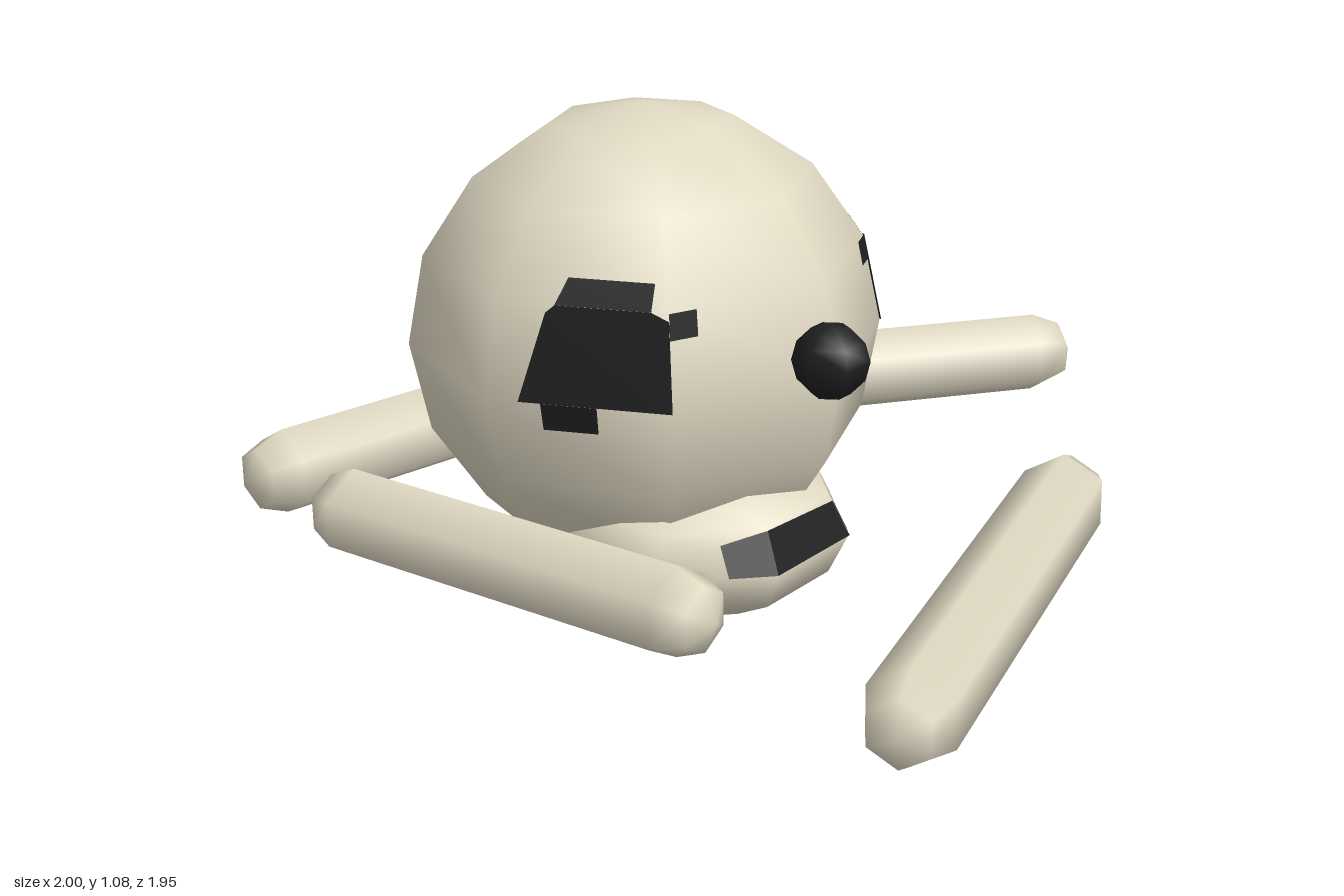
import * as THREE from 'three';

const cream = new THREE.MeshStandardMaterial({ color: 0xe0d9c3 });
cream.name = 'cream';
const black = new THREE.MeshStandardMaterial({ color: 0x1f1f1f, side: THREE.DoubleSide });
black.name = 'black';

function add(parent, name, geometry, material) {
  const mesh = new THREE.Mesh(geometry, material);
  mesh.name = name;
  parent.add(mesh);
  return mesh;
}

// Point on a faceted ball: u counts facets around from +z to +x, v counts rings down from the top
function facetPoint(u, v, rings, turn) {
  const corner = (i, j) => {
    const a = i * Math.PI / 4 + turn, t = j * Math.PI / rings;
    return new THREE.Vector3(Math.sin(t) * Math.sin(a), Math.cos(t), Math.sin(t) * Math.cos(a));
  };
  const i = Math.floor(u), j = Math.floor(v);
  const upper = corner(i, j).lerp(corner(i + 1, j), u - i);
  const lower = corner(i, j + 1).lerp(corner(i + 1, j + 1), u - i);
  return upper.lerp(lower, v - j);
}

// Painted patch: four-cornered pieces [u, v], lifted just off the surface
function patch(pieces, rings, turn, size) {
  const positions = [];
  for (const piece of pieces) {
    const p = piece.map(([u, v]) => facetPoint(u, v, rings, turn).multiply(size).multiplyScalar(1.007));
    for (const k of [0, 1, 2, 0, 2, 3]) positions.push(...p[k].toArray());
  }
  const geometry = new THREE.BufferGeometry();
  geometry.setAttribute('position', new THREE.Float32BufferAttribute(positions, 3));
  geometry.computeVertexNormals();
  return geometry;
}

// Six-sided rounded limb lying level between two end centres [x, z]
function limb(parent, name, [x1, z1], [x2, z2]) {
  const geometry = new THREE.CapsuleGeometry(0.1, Math.hypot(x2 - x1, z2 - z1), 2, 6);
  geometry.rotateZ(Math.PI / 2);
  const mesh = add(parent, name, geometry, cream);
  mesh.rotation.y = -Math.atan2(z2 - z1, x2 - x1);
  mesh.position.set((x1 + x2) / 2, 0.23, (z1 + z2) / 2);
}

export function createModel() {
  const model = new THREE.Group();
  model.name = 'creature';

  // Head with its eyes
  const head = new THREE.Group();
  head.name = 'head';
  head.position.set(-0.28, 0.56, -0.233);
  model.add(head);
  add(head, 'skull', new THREE.SphereGeometry(0.52, 8, 8), cream);
  const headSize = new THREE.Vector3(0.52, 0.52, 0.52);
  const e = 0.001;
  add(head, 'leftEye', patch([
    [[1, 3], [1, 4 - e], [1.18, 4 - e], [1.17, 3]],
    [[1.03, 2.72], [1.03, 3 - e], [1.2, 3 - e], [1.2, 2.72]],
    [[0.83, 3], [0.83, 3.27], [1 - e, 3.27], [1 - e, 3]],
  ], 8, 0, headSize), black);
  add(head, 'rightEye', patch([
    [[-1.7, 3.08], [-1.82, 4 - e], [-1 - e, 4 - e], [-1 - e, 3.08]],
    [[-1.6, 2.7], [-1.65, 3 - e], [-1.1, 3 - e], [-1.07, 2.7]],
    [[-1.65, 3], [-1.7, 3.08], [-1 - e, 3.08], [-1.1, 3]],
    [[-1.7, 4], [-1.7, 4.3], [-1.4, 4.3], [-1.4, 4]],
    [[-1, 3], [-1, 3.27], [-0.83, 3.27], [-0.83, 3]],
  ], 8, 0, headSize), black);

  // Nose floating ahead of the face
  add(model, 'nose', new THREE.SphereGeometry(0.08, 6, 6), black).position.set(-0.44, 0.665, 0.375);

  // Flattened body with a dark band across its upper front
  const body = new THREE.Group();
  body.name = 'body';
  body.position.set(-0.35, 0.18, -0.04);
  model.add(body);
  const bodySize = new THREE.Vector3(0.335, 0.18, 0.335);
  const belly = new THREE.SphereGeometry(1, 8, 6).rotateY(Math.PI / 8);
  belly.scale(bodySize.x, bodySize.y, bodySize.z);
  add(body, 'belly', belly, cream);
  add(body, 'chestBand', patch([
    [[-1.45, 2.3], [-1.4, 3 - e], [-1 - e, 3 - e], [-1 - e, 2.05]],
    [[-1, 2.05], [-1, 3 - e], [-e, 3 - e], [-e, 2.15]],
    [[0, 2.2], [0, 3 - e], [0.22, 3 - e], [0.22, 2.4]],
  ], 6, Math.PI / 8, bodySize), black);

  // Four loose limbs
  limb(model, 'frontLimb', [-0.908, 0.885], [0.128, 0.595]);
  limb(model, 'rightLimb', [-0.835, -0.595], [-0.815, 0.27]);
  limb(model, 'backLimb', [-0.765, -0.895], [0.605, -0.657]);
  limb(model, 'leftLimb', [-0.005, -0.668], [0.907, 0.05]);

  return model;
}
